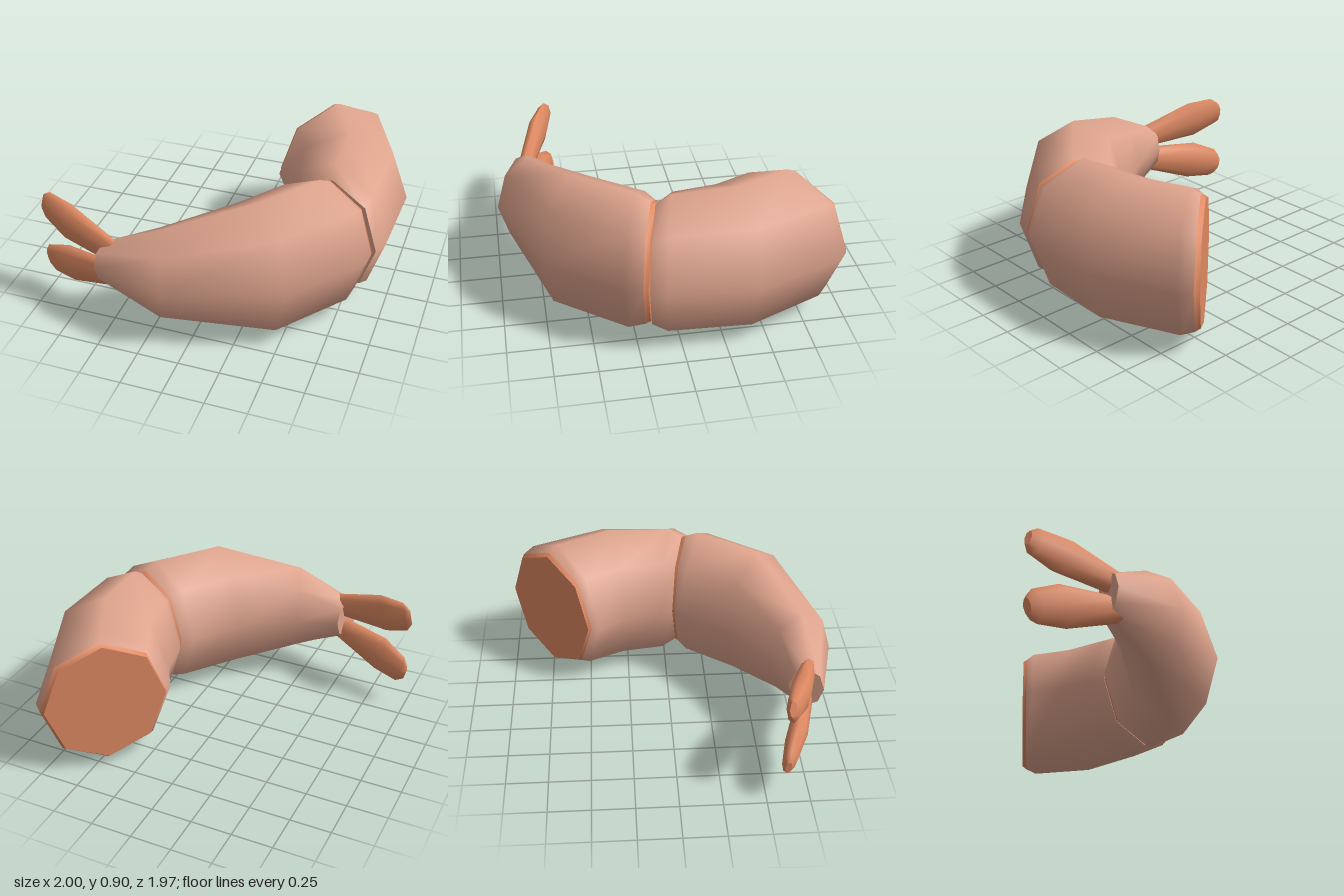
import * as THREE from 'three';

const SIDES = 8;
const MID_Y = 0.45;

const shell = new THREE.MeshStandardMaterial({ color: 0xe0a58e });
shell.name = 'pale shell';
const flesh = new THREE.MeshStandardMaterial({ color: 0xe08a62 });
flesh.name = 'orange flesh';

// Body ring spanning an inner and an outer point of the curl (x, z), with half height h
function bodyRing([ix, iz, ox, oz, h]) {
  return {
    c: new THREE.Vector3((ix + ox) / 2, MID_Y, (iz + oz) / 2),
    u: new THREE.Vector3((ox - ix) / 2, 0, (oz - iz) / 2),
    v: new THREE.Vector3(0, h, 0),
  };
}

// Smooth skin through the rings, with optional flat end caps
function loft(name, rings, material, capStart = false, capEnd = false) {
  const pos = [], index = [];
  const dir = rings[rings.length - 1].c.clone().sub(rings[0].c);
  const sign = rings[0].u.clone().cross(rings[0].v).dot(dir) < 0 ? -1 : 1;
  const addRing = ({ c, u, v }) => {
    const start = pos.length / 3;
    for (let k = 0; k < SIDES; k++) {
      const a = (k / SIDES) * Math.PI * 2;
      const p = c.clone().addScaledVector(u, Math.cos(a)).addScaledVector(v, sign * Math.sin(a));
      pos.push(p.x, p.y, p.z);
    }
    return start;
  };
  rings.forEach(addRing);
  for (let i = 0; i < rings.length - 1; i++) {
    for (let k = 0; k < SIDES; k++) {
      const n = (k + 1) % SIDES;
      const a = i * SIDES + k, b = i * SIDES + n;
      index.push(a, b, a + SIDES, b, b + SIDES, a + SIDES);
    }
  }
  const cap = (ring, flip) => {
    const s = addRing(ring);
    for (let k = 1; k < SIDES - 1; k++) {
      if (flip) index.push(s, s + k + 1, s + k);
      else index.push(s, s + k, s + k + 1);
    }
  };
  if (capStart) cap(rings[0], true);
  if (capEnd) cap(rings[rings.length - 1], false);
  const geo = new THREE.BufferGeometry();
  geo.setAttribute('position', new THREE.Float32BufferAttribute(pos, 3));
  geo.setIndex(index);
  geo.computeVertexNormals();
  const mesh = new THREE.Mesh(geo, material);
  mesh.name = name;
  return mesh;
}

// Flattened, tapered tail fin; side = 1 for the upper one, -1 for the lower one
function tailFin(name, side) {
  const across = new THREE.Vector3(0.24, 1, 0).normalize();
  const thin = new THREE.Vector3(0.33, 0, 1).normalize();
  const rings = [
    // x, height off the middle, z, half width, half thickness
    [-0.465, 0.08, 0.782, 0.08, 0.055],
    [-0.79, 0.153, 0.68, 0.126, 0.073],
    [-0.945, 0.195, 0.622, 0.097, 0.05],
    [-0.985, 0.207, 0.609, 0.05, 0.022],
  ].map(([x, y, z, w, t]) => ({
    c: new THREE.Vector3(x, MID_Y + side * y, z),
    u: new THREE.Vector3(across.x, across.y * side, 0).multiplyScalar(w),
    v: thin.clone().multiplyScalar(t),
  }));
  return loft(name, rings, flesh, true, true);
}

export function createModel() {
  const group = new THREE.Group();
  group.name = 'shrimp';

  // Rear body segment with its cut end
  const rear = [
    [0.165, -0.48, 0.725, -0.98, 0.405],
    [0.165, -0.43, 0.79, -0.92, 0.44],
    [0.26, -0.26, 1.0, -0.42, 0.45],
    [0.30, -0.04, 0.98, 0.11, 0.44],
    [0.34, 0.04, 0.94, 0.20, 0.385],
  ].map(bodyRing);
  group.add(loft('rearSegment', rear, shell, false, true));
  const cut = bodyRing([0.155, -0.5, 0.69, -0.99, 0.385]);
  group.add(loft('cutEnd', [cut, rear[0]], flesh, true));

  // Front body segment tapering to the tail
  const front = [
    [0.335, 0.055, 0.92, 0.235, 0.395],
    [0.27, 0.10, 0.90, 0.34, 0.438],
    [0.07, 0.37, 0.56, 0.76, 0.44],
    [-0.25, 0.58, -0.11, 0.98, 0.29],
    [-0.49, 0.67, -0.55, 0.87, 0.13],
  ].map(bodyRing);
  group.add(loft('frontSegment', front, shell, false, true));

  // Orange rim in the crease between the segments
  const rim = bodyRing([0.35, 0.03, 0.915, 0.205, 0.375]);
  group.add(loft('creaseRim', [rim, front[0]], flesh, true));

  group.add(tailFin('upperTailFin', 1), tailFin('lowerTailFin', -1));
  return group;
}
